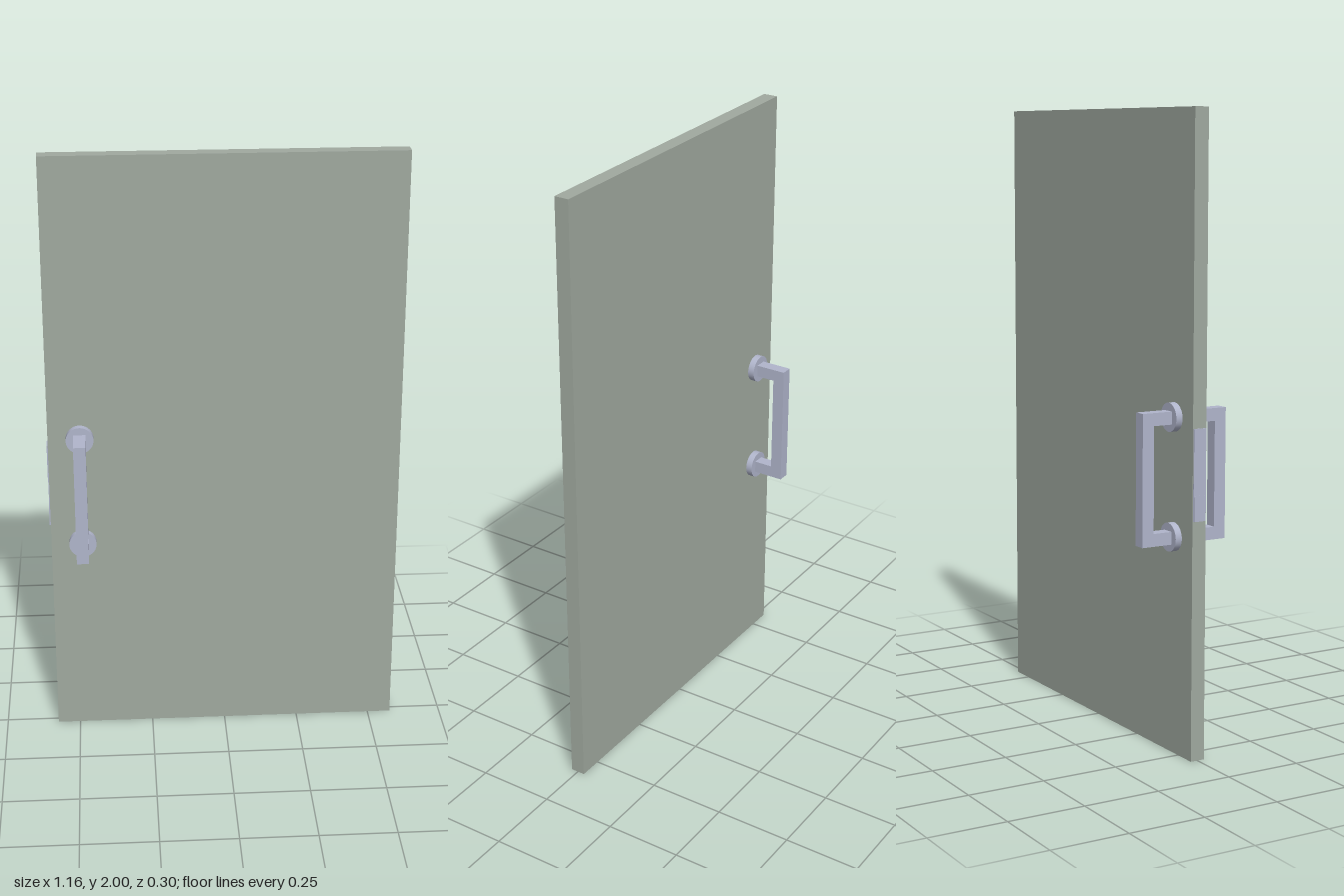
import * as THREE from 'three';

export function createModel() {
  const model = new THREE.Group();
  model.name = 'door';
  const panelMat = new THREE.MeshStandardMaterial({ color: 0xa0a99f });
  panelMat.name = 'greyGreenPanel';
  const metalMat = new THREE.MeshStandardMaterial({ color: 0xb0b5cb });
  metalMat.name = 'paleMetal';

  const add = (parent, name, geometry, material, x, y, z) => {
    const mesh = new THREE.Mesh(geometry, material);
    mesh.name = name;
    mesh.position.set(x, y, z);
    parent.add(mesh);
    return mesh;
  };

  // Door leaf
  const left = 0.578, right = -0.575, half = 0.024;
  add(model, 'doorPanel', new THREE.BoxGeometry(left - right, 2, half * 2), panelMat, (left + right) / 2, 1, 0);

  // Square-section pull handles with round roses, one on each face
  const handleX = -0.471, bar = 0.04, reach = 0.15, low = 0.672, high = 1.085;
  const outline = new THREE.Shape([
    [half, low], [reach, low], [reach, high], [half, high],
    [half, high - bar], [reach - bar, high - bar], [reach - bar, low + bar], [half, low + bar],
  ].map(([z, y]) => new THREE.Vector2(z, y)));
  const gripGeo = new THREE.ExtrudeGeometry(outline, { depth: bar, bevelEnabled: false });
  gripGeo.translate(0, 0, -bar / 2).rotateY(-Math.PI / 2);
  const roseGeo = new THREE.CylinderGeometry(0.045, 0.045, 0.022, 40).rotateX(Math.PI / 2);

  for (const side of [1, -1]) {
    const handle = new THREE.Group();
    handle.name = side > 0 ? 'frontHandle' : 'backHandle';
    handle.position.x = handleX;
    handle.rotation.y = side > 0 ? 0 : Math.PI;
    add(handle, 'grip', gripGeo, metalMat, 0, 0, 0);
    for (const y of [low + bar / 2, high - bar / 2]) add(handle, 'rose', roseGeo, metalMat, 0, y, half + 0.011);
    model.add(handle);
  }

  // Lock faceplate on the closing edge, with two slightly raised ends
  const lock = new THREE.Group();
  lock.name = 'lockFaceplate';
  add(lock, 'plate', new THREE.BoxGeometry(0.004, 0.285, 0.044), metalMat, right - 0.001, 0.898, 0);
  for (const [y, h] of [[0.795, 0.08], [0.98, 0.12]]) {
    add(lock, 'raisedEnd', new THREE.BoxGeometry(0.004, h, 0.04), metalMat, right - 0.002, y, 0);
  }
  model.add(lock);
  return model;
}
